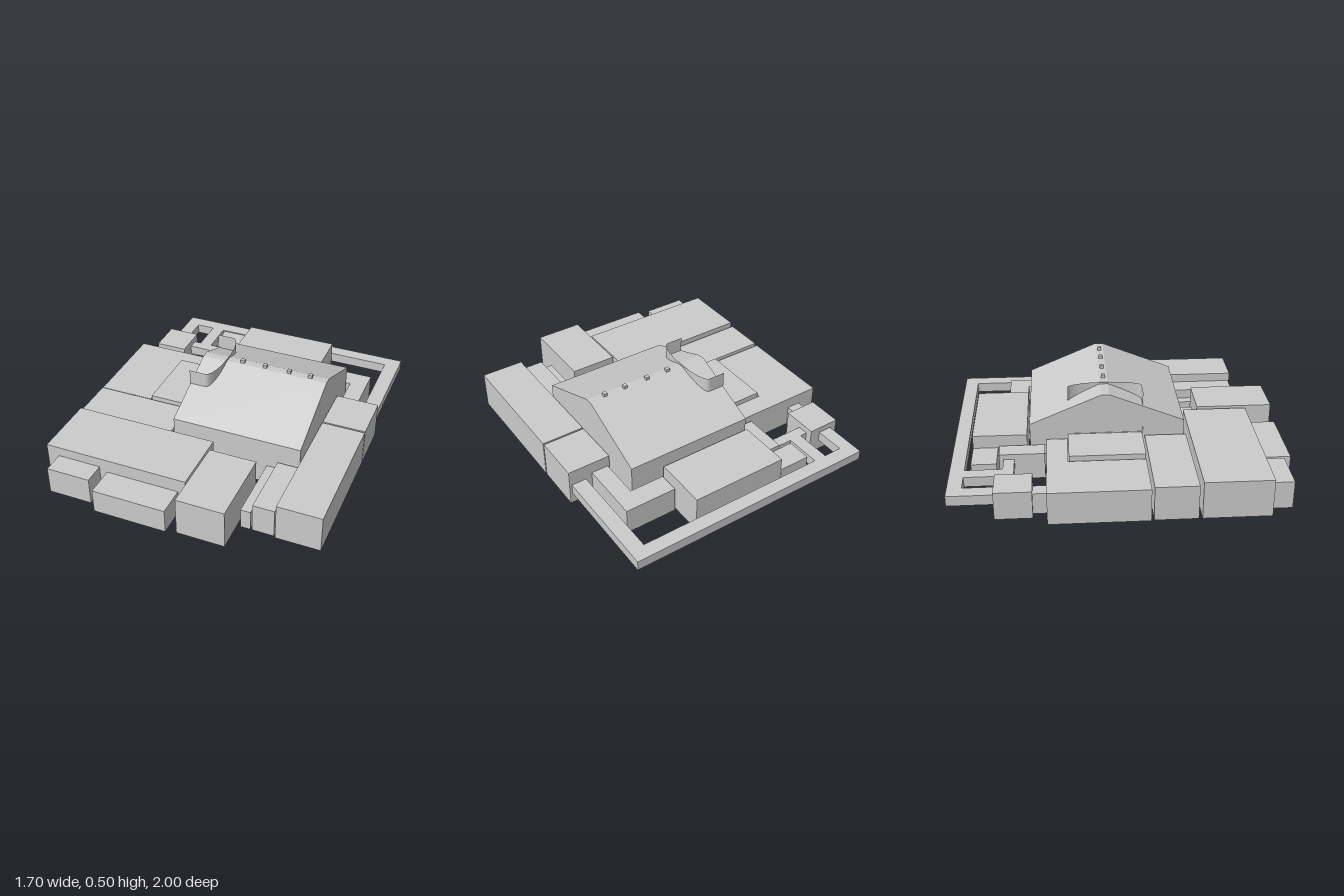
import * as THREE from 'three';

const mat = new THREE.MeshStandardMaterial({ color: 0xcccccc, flatShading: true, side: THREE.DoubleSide });

// name, x0, x1, z0, z1, height: floorless rooms
const ROOMS = [
  ['westRoom', -0.85, -0.51, -0.44, 0.135, 0.2],
  ['westRoomWing', -0.51, -0.235, -0.44, -0.315, 0.2],
  ['innerWestRoom', -0.5, -0.23, -0.31, 0.135, 0.228],
  ['westGallery', -0.845, -0.24, 0.15, 0.4, 0.21],
  ['frontWestRoom', -0.845, 0.045, 0.42, 0.815, 0.23],
  ['frontAnnexSmall', -0.77, -0.5, 0.815, 0.945, 0.17],
  ['frontAnnexWide', -0.45, 0, 0.82, 0.997, 0.15],
  ['entranceRoom', 0.06, 0.35, 0.51, 0.98, 0.24],
  ['narrowCorridor', 0.37, 0.43, 0.385, 0.8, 0.125],
  ['frontEastRoom', 0.44, 0.57, 0.4, 0.8, 0.18],
  ['longEastRoom', 0.58, 0.845, 0, 0.81, 0.23],
  ['backEastRoom', 0.58, 0.845, -0.305, -0.01, 0.23],
  ['backRoom', -0.225, 0.37, -0.88, -0.555, 0.23],
  ['backCloset', -0.425, -0.228, -0.88, -0.73, 0.15],
  ['backPassage', -0.345, -0.235, -0.72, -0.45, 0.165],
  ['cornerCorridorA', 0.38, 0.7, -0.685, -0.56, 0.165],
  ['cornerCorridorB', 0.595, 0.7, -0.56, -0.31, 0.165],
  ['pumpRoom', -0.78, -0.58, -0.735, -0.52, 0.17],
];

// axis the doorway runs along, from, to, centre, width, height
const DOORS = [
  ['z', 0.135, 0.15, -0.45, 0.08, 0.1],
  ['z', 0.4, 0.42, -0.65, 0.08, 0.1],
  ['z', 0.385, 0.42, -0.03, 0.06, 0.1],
  ['z', 0.385, 0.51, 0.205, 0.15, 0.13],
  ['z', 0.815, 0.82, -0.35, 0.07, 0.1],
  ['z', 0.81, 0.82, -0.63, 0.08, 0.1],
  ['z', -0.555, -0.54, 0.19, 0.08, 0.12],
  ['z', -0.562, -0.558, 0.648, 0.09, 0.13],
  ['z', -0.31, -0.305, 0.65, 0.07, 0.12],
  ['z', -0.52, -0.44, -0.692, 0.085, 0.13],
  ['x', 0.57, 0.58, 0.3, 0.07, 0.12],
  ['x', 0.57, 0.58, -0.17, 0.07, 0.12],
  ['x', 0.37, 0.38, -0.615, 0.07, 0.12],
  ['x', 0.43, 0.44, 0.69, 0.1, 0.1],
  ['x', -0.235, -0.225, -0.66, 0.06, 0.1],
  ['x', -0.23, -0.224, 0.02, 0.08, 0.12],
  ['x', -0.51, -0.5, -0.24, 0.08, 0.12],
  ['x', -0.512, -0.508, -0.378, 0.09, 0.14],
  ['x', -0.229, -0.224, -0.8, 0.07, 0.1],
];

// Hall section as [z, y]
const HALL = { x0: -0.225, x1: 0.572, z0: -0.537, z1: 0.388, eaves: 0.298 };
const GABLE = [[HALL.z1, HALL.eaves], [-0.06, 0.478], [-0.11, 0.478], [HALL.z0, HALL.eaves]];

function add(parent, name, geometry) {
  const mesh = new THREE.Mesh(geometry, mat);
  mesh.name = name;
  parent.add(mesh);
  return mesh;
}

function block(parent, name, x0, x1, y0, y1, z0, z1) {
  const geo = new THREE.BoxGeometry(x1 - x0, y1 - y0, z1 - z0);
  geo.translate((x0 + x1) / 2, (y0 + y1) / 2, (z0 + z1) / 2);
  return add(parent, name, geo);
}

// Upright wall across the given axis, notched by every doorway that meets it
function wall(parent, axis, at, a, b, top) {
  const pts = [[a, 0]];
  DOORS.filter(([ax, from, to, c, w]) => ax === axis && at > from - 0.004 && at < to + 0.004
    && c - w / 2 > a && c + w / 2 < b)
    .sort((p, q) => p[3] - q[3])
    .forEach(([, , , c, w, h]) => pts.push([c - w / 2, 0], [c - w / 2, h], [c + w / 2, h], [c + w / 2, 0]));
  pts.push([b, 0], ...top);
  const geo = new THREE.ShapeGeometry(new THREE.Shape(pts.map(p => new THREE.Vector2(...p))));
  if (axis === 'x') geo.rotateY(-Math.PI / 2).translate(at, 0, 0);
  else geo.translate(0, 0, at);
  add(parent, 'wall', geo);
}

function ceiling(parent, x0, x1, z0, z1, y) {
  const geo = new THREE.PlaneGeometry(x1 - x0, z1 - z0).rotateX(-Math.PI / 2);
  geo.translate((x0 + x1) / 2, y, (z0 + z1) / 2);
  add(parent, 'ceiling', geo);
}

function room([name, x0, x1, z0, z1, h]) {
  const g = new THREE.Group();
  g.name = name;
  for (const z of [z0, z1]) wall(g, 'z', z, x0, x1, [[x1, h], [x0, h]]);
  for (const x of [x0, x1]) wall(g, 'x', x, z0, z1, [[z1, h], [z0, h]]);
  ceiling(g, x0, x1, z0, z1, h);
  return g;
}

// Short tunnel between two rooms: two jambs and a lintel
function doorway([axis, from, to, c, w, h]) {
  const g = new THREE.Group();
  g.name = 'doorway';
  const lo = c - w / 2, hi = c + w / 2;
  const side = axis === 'z' ? 'x' : 'z';
  for (const s of [lo, hi]) wall(g, side, s, from, to, [[to, h], [from, h]]);
  if (axis === 'z') ceiling(g, lo, hi, from, to, h);
  else ceiling(g, from, to, lo, hi, h);
  return g;
}

// Gabled great hall with a narrow flat ridge
function hall() {
  const g = new THREE.Group();
  g.name = 'greatHall';
  const { x0, x1, z0, z1, eaves } = HALL;
  for (const x of [x0, x1]) wall(g, 'x', x, z0, z1, GABLE);
  for (const z of [z0, z1]) wall(g, 'z', z, x0, x1, [[x1, eaves], [x0, eaves]]);
  const pos = [];
  for (let i = 0; i < GABLE.length - 1; i++) {
    const [za, ya] = GABLE[i], [zb, yb] = GABLE[i + 1];
    pos.push(x0, ya, za, x1, ya, za, x1, yb, zb, x0, ya, za, x1, yb, zb, x0, yb, zb);
  }
  const roof = new THREE.BufferGeometry();
  roof.setAttribute('position', new THREE.Float32BufferAttribute(pos, 3));
  roof.computeVertexNormals();
  add(g, 'roof', roof);
  for (const x of [0.03, 0.175, 0.33, 0.465]) {
    block(g, 'ridgeLamp', x - 0.012, x + 0.012, 0.465, 0.497, -0.097, -0.073);
  }
  return g;
}

// D-shaped balcony whose open parapet breaks through the roof
function balcony() {
  const g = new THREE.Group();
  g.name = 'balcony';
  const x0 = -0.228, zc = -0.0825, r = 0.2225, y0 = 0.23, y1 = 0.49;
  const path = [[x0, zc + r], [-0.125, zc + r]];
  for (let i = 1; i < 16; i++) {
    const t = Math.PI * i / 16;
    path.push([-0.125 + 0.058 * Math.sin(t), zc + r * Math.cos(t)]);
  }
  path.push([-0.125, zc - r], [x0, zc - r]);
  const pos = [];
  for (let i = 0; i < path.length - 1; i++) {
    const [xa, za] = path[i], [xb, zb] = path[i + 1];
    pos.push(xa, y0, za, xb, y0, zb, xb, y1, zb, xa, y0, za, xb, y1, zb, xa, y1, za);
  }
  const parapet = new THREE.BufferGeometry();
  parapet.setAttribute('position', new THREE.Float32BufferAttribute(pos, 3));
  parapet.computeVertexNormals();
  add(g, 'parapet', parapet);
  const floor = new THREE.ShapeGeometry(new THREE.Shape(path.map(([x, z]) => new THREE.Vector2(x, z))));
  add(g, 'balconyFloor', floor.rotateX(Math.PI / 2).translate(0, y0, 0));
  return g;
}

// Raised service duct around the back, with its branches
function ducts() {
  const g = new THREE.Group();
  g.name = 'serviceDuct';
  const runs = [
    [-0.735, 0.83, -1, -0.915],
    [0.737, 0.83, -0.915, -0.305],
    [-0.735, -0.65, -0.915, -0.735],
    [-0.535, -0.455, -0.915, -0.63],
    [-0.58, -0.535, -0.695, -0.63],
    [-0.455, -0.345, -0.695, -0.63],
  ];
  for (const [x0, x1, z0, z1] of runs) block(g, 'ductRun', x0, x1, 0.07, 0.132, z0, z1);
  return g;
}

export function createModel() {
  const model = new THREE.Group();
  model.name = 'buildingComplex';
  model.add(hall(), balcony(), ducts(), ...ROOMS.map(room), ...DOORS.map(doorway));
  return model;
}
